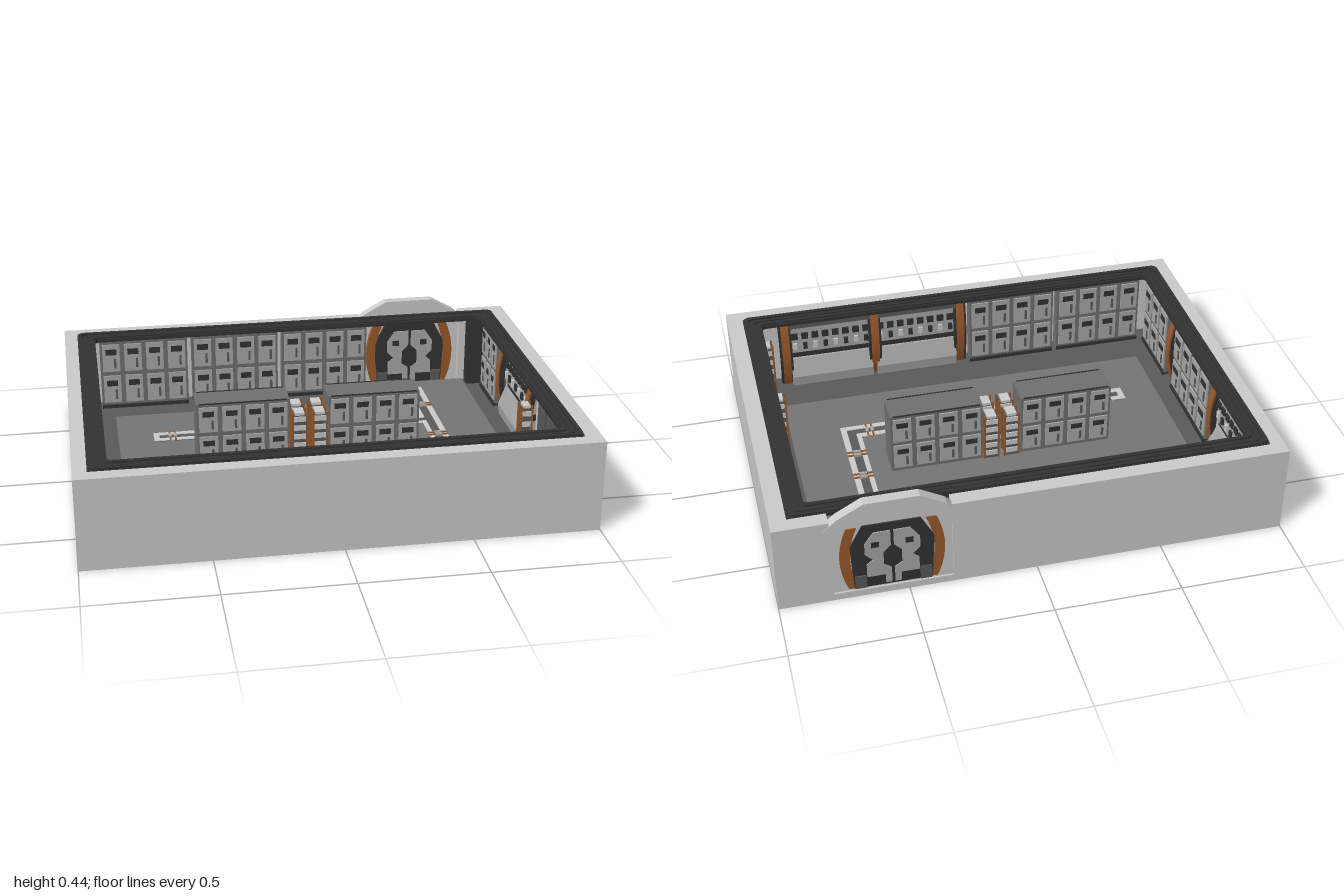
import * as THREE from 'three';

const mat = (color) => new THREE.MeshStandardMaterial({ color, roughness: 1, metalness: 0, side: THREE.DoubleSide });
const M = {
  grey: mat(0xcccccc), floor: mat(0x757575), dark: mat(0x5a5a5a), black: mat(0x333333),
  panel: mat(0xa8a8a8), cabinet: mat(0x707070), brown: mat(0x9a5a2c),
};
const FLOOR = 0.045;

function add(parent, name, geo, m, x = 0, y = 0, z = 0) {
  const mesh = new THREE.Mesh(geo, m);
  mesh.name = name;
  mesh.position.set(x, y, z);
  parent.add(mesh);
  return mesh;
}

// box given by its lower and upper limits on each axis
function box(parent, name, m, x0, x1, y0, y1, z0, z1) {
  return add(parent, name, new THREE.BoxGeometry(x1 - x0, y1 - y0, z1 - z0), m,
    (x0 + x1) / 2, (y0 + y1) / 2, (z0 + z1) / 2);
}

const shapeOf = (pts) => new THREE.Shape(pts.map(([x, y]) => new THREE.Vector2(x, y)));
const extrude = (shape, depth) => new THREE.ExtrudeGeometry(shape, { depth, bevelEnabled: false });

function group(parent, name, x = 0, z = 0, turn = 0) {
  const g = new THREE.Group();
  g.name = name;
  g.position.set(x, 0, z);
  g.rotation.y = turn;
  parent.add(g);
  return g;
}

// curved band bowing towards +x, standing on the floor
function bowShape(y0, y1, bow, thick) {
  const s = new THREE.Shape(), mid = (y0 + y1) / 2;
  s.moveTo(0, y0);
  s.quadraticCurveTo(bow * 2, mid, 0, y1);
  s.lineTo(-thick, y1);
  s.quadraticCurveTo(bow * 2 - thick, mid, -thick, y0);
  return s;
}

// lettered-free cabinet front: columns x 2 rows of doors with screen, slot and handle
function cabinetFace(parent, w, y0, y1, z, cols = 4) {
  const cw = w / cols, rh = (y1 - y0) / 2;
  for (let c = 0; c < cols; c++) for (let r = 0; r < 2; r++) {
    const x = -w / 2 + c * cw, y = y0 + r * rh;
    box(parent, 'cabinetDoor', M.panel, x + 0.01, x + cw - 0.01, y + 0.012, y + rh - 0.008, z, z + 0.006);
    box(parent, 'doorScreen', M.black, x + 0.024, x + cw - 0.024, y + rh * 0.62, y + rh * 0.8, z + 0.005, z + 0.008);
    box(parent, 'doorHandle', M.dark, x + cw * 0.62, x + cw * 0.72, y + rh * 0.2, y + rh * 0.5, z + 0.005, z + 0.01);
  }
}

// wall pieces: local z = 0 is the visible face, the wall lies at -z
function wallBank(parent, u, w, m = M.cabinet) {
  const g = group(parent, 'wallCabinetBank', u);
  box(g, 'cabinetBody', m, -w / 2, w / 2, FLOOR, 0.36, -0.06, -0.012);
  box(g, 'cabinetPlinth', M.black, -w / 2, w / 2, FLOOR, FLOOR + 0.015, -0.06, -0.004);
  if (m === M.cabinet) cabinetFace(g, w, FLOOR + 0.015, 0.355, -0.012, Math.max(2, Math.round(w / 0.096)));
  else for (let i = 0; i < 3; i++) {
    const x = -w / 2 + (i + 0.5) * w / 3;
    box(g, 'lockerDoor', M.dark, x - w * 0.13, x + w * 0.13, 0.08, 0.34, -0.012, -0.004);
  }
}

function wallConsole(parent, u, w) {
  const g = group(parent, 'wallConsole', u);
  const lower = extrude(shapeOf([[-0.06, FLOOR], [-0.01, FLOOR], [-0.005, 0.09], [-0.035, 0.17], [-0.06, 0.17]]), w);
  add(g, 'consoleBase', lower, M.panel, w / 2).rotation.y = -Math.PI / 2;
  box(g, 'consoleGroove', M.black, -w / 2, w / 2, 0.17, 0.2, -0.06, -0.045);
  box(g, 'instrumentPanel', M.panel, -w / 2, w / 2, 0.2, 0.33, -0.06, -0.035);
  box(g, 'upperTrim', M.dark, -w / 2, w / 2, 0.33, 0.37, -0.06, -0.025);
  const n = Math.max(3, Math.round(w / 0.045)), s = w / n;
  for (let i = 0; i < n; i++) {
    const x = -w / 2 + (i + 0.5) * s;
    box(g, 'instrument', M.black, x - s * 0.32, x + s * 0.32, 0.27, 0.3, -0.036, -0.028);
    box(g, 'instrumentSwitch', i % 2 ? M.black : M.grey, x - s * 0.2, x + s * 0.2, 0.22, 0.25, -0.036, -0.026);
  }
}

function wallRib(parent, u) {
  const g = group(parent, 'wallRib', u);
  for (const [dx, w, m, off] of [[0, 0.034, M.brown, -0.03], [-0.022, 0.01, M.black, -0.037], [0.022, 0.01, M.black, -0.037]])
    add(g, 'ribBand', extrude(bowShape(FLOOR, 0.37, 0.028, 0.022), w), m, dx + w / 2, 0, off).rotation.y = -Math.PI / 2;
}

// small equipment stack with brown corner posts
function rack(parent, x, z, w, d, top) {
  const g = group(parent, 'equipmentRack', x, z);
  box(g, 'rackCore', M.dark, -w * 0.42, w * 0.42, FLOOR, top - 0.01, -d * 0.42, d * 0.42);
  for (let i = 0; i < 5; i++) {
    const y = FLOOR + 0.02 + i * (top - FLOOR - 0.02) / 5;
    box(g, 'rackUnit', M.grey, -w * 0.38, w * 0.38, y, y + 0.022, -d / 2, d / 2);
  }
  for (const sx of [-1, 1]) for (const sz of [-1, 1])
    add(g, 'rackPost', new THREE.BoxGeometry(0.008, top - FLOOR, 0.008), M.brown, sx * w * 0.45, (top + FLOOR) / 2, sz * d * 0.42);
  box(g, 'rackTop', M.grey, -w * 0.3, w * 0.3, top - 0.012, top, -d * 0.45, d * 0.45);
}

// rectangular ring with rounded corners, lying flat
function rim(parent, inset, width, y, h, r) {
  const rect = (T, i, rad) => {
    const x0 = -0.945 + i, x1 = 0.935 - i, z0 = -0.69 + i, z1 = 0.69 - i, s = new T();
    s.moveTo(x0 + rad, z0); s.lineTo(x1 - rad, z0); s.quadraticCurveTo(x1, z0, x1, z0 + rad);
    s.lineTo(x1, z1 - rad); s.quadraticCurveTo(x1, z1, x1 - rad, z1);
    s.lineTo(x0 + rad, z1); s.quadraticCurveTo(x0, z1, x0, z1 - rad);
    s.lineTo(x0, z0 + rad); s.quadraticCurveTo(x0, z0, x0 + rad, z0);
    return s;
  };
  const s = rect(THREE.Shape, inset, r);
  s.holes.push(rect(THREE.Path, inset + width, r));
  add(parent, 'rimTrim', extrude(s, h), M.black, 0, y + h, 0).rotation.x = Math.PI / 2;
}

function buildDoor(parent) {
  const g = group(parent, 'doorway', 0.56, 0);
  const hood = [[-0.26, 0.335], [-0.21, 0.385], [-0.11, 0.44], [0.1, 0.44], [0.2, 0.385], [0.26, 0.335]];
  const inner = [[0.235, 0.315], [0.18, 0.355], [0.09, 0.4], [-0.1, 0.4], [-0.19, 0.355], [-0.235, 0.315]];
  add(g, 'doorHood', extrude(shapeOf([...hood, ...inner]), 0.042), M.grey, 0, 0, -0.752);
  add(g, 'doorSurround', extrude(shapeOf([[0.26, 0.02], ...inner.map(([x, y]) => [x * 1.05, y + 0.01]), [-0.26, 0.02]]), 0.025), M.grey, 0, 0, -0.743);
  const frame = [[-0.15, 0.04], [-0.16, 0.24], [-0.11, 0.335], [0.11, 0.335], [0.16, 0.24], [0.15, 0.04]];
  add(g, 'doorFrame', extrude(shapeOf(frame), 0.052), M.black, 0, 0, -0.749);
  const leaf = [[0.006, 0.05], [0.03, 0.05], [0.03, 0.09], [0.1, 0.09], [0.1, 0.15], [0.075, 0.17], [0.105, 0.2],
    [0.105, 0.25], [0.07, 0.3], [0.006, 0.3], [0.006, 0.23], [0.035, 0.2], [0.035, 0.14], [0.006, 0.12]];
  for (const s of [-1, 1]) {
    const side = group(g, 'doorHalf');
    add(side, 'doorLeaf', extrude(shapeOf(leaf.map(([x, y]) => [s * x, y])), 0.06), M.panel, 0, 0, -0.753);
    box(side, 'leafWindow', M.black, s * 0.065 - 0.015, s * 0.065 + 0.015, 0.23, 0.255, -0.755, -0.691);
    box(side, 'footBlock', M.dark, s * 0.125 - 0.022, s * 0.125 + 0.022, 0.04, 0.1, -0.754, -0.69);
    const jamb = add(side, 'doorJamb', extrude(bowShape(0.04, 0.33, 0.03, 0.04), 0.05), M.brown, s * 0.17, 0, s > 0 ? -0.747 : -0.697);
    if (s < 0) jamb.rotation.y = Math.PI;
  }
}

export function createModel() {
  const root = new THREE.Group();
  root.name = 'sunkenControlRoom';

  // outer shell, with a notch in the back wall for the doorway
  const shell = group(root, 'shell');
  box(shell, 'base', M.grey, -1, 1, 0, 0.03, -0.75, 0.75);
  box(shell, 'frontWall', M.grey, -1, 1, 0.03, 0.375, 0.69, 0.75);
  box(shell, 'leftOuterWall', M.grey, 0.935, 1, 0.03, 0.375, -0.69, 0.69);
  box(shell, 'rightOuterWall', M.grey, -1, -0.945, 0.03, 0.375, -0.69, 0.69);
  add(shell, 'backWall', extrude(shapeOf([[-1, 0.03], [1, 0.03], [1, 0.375], [0.79, 0.375], [0.79, 0.03],
    [0.33, 0.03], [0.33, 0.375], [-1, 0.375]]), 0.06), M.grey, 0, 0, -0.75);
  buildDoor(root);

  // two-tone floor
  const floor = group(root, 'floor');
  box(floor, 'floorBorder', M.dark, -0.945, 0.935, 0.03, FLOOR, -0.69, 0.69);
  box(floor, 'floorField', M.floor, -0.8, 0.81, 0.03, FLOOR + 0.004, -0.51, 0.47);
  box(floor, 'doorPath', M.floor, 0.365, 0.81, 0.03, FLOOR + 0.004, -0.69, -0.51);

  // floor channels: pale edges, dark middle, brown clamps
  const ch = group(root, 'floorChannels'), y0 = FLOOR, y1 = FLOOR + 0.009;
  const edge = (a, b, c, d) => box(ch, 'channelEdge', M.grey, a, b, y0, y1, c, d);
  const clamp = (x, z, along) => {
    for (const s of [-0.011, 0.011]) {
      const [cx, cz] = along ? [x + s, z] : [x, z + s];
      add(ch, 'channelClamp', new THREE.BoxGeometry(along ? 0.007 : 0.08, 0.01, along ? 0.08 : 0.007), M.brown, cx, y1, cz);
      add(ch, 'clampBlock', new THREE.BoxGeometry(along ? 0.012 : 0.03, 0.014, along ? 0.03 : 0.012), M.panel, cx, y1, cz);
    }
  };
  for (const z of [-0.3, 0.165]) {
    box(ch, 'channelBed', M.dark, -0.65, 0.54, y0, y0 + 0.006, z, z + 0.08);
    edge(-0.65, 0.52, z, z + 0.024);
    edge(-0.65, 0.52, z + 0.056, z + 0.08);
    edge(-0.65, -0.626, z + 0.024, z + 0.056);
    for (const x of [-0.57, -0.38, -0.17, 0.04, 0.26, 0.48]) clamp(x, z + 0.04, true);
  }
  box(ch, 'channelBed', M.dark, 0.52, 0.6, y0, y0 + 0.006, -0.61, 0.245);
  edge(0.576, 0.6, -0.61, 0.245);
  edge(0.52, 0.54, -0.61, -0.276);
  edge(0.52, 0.54, -0.244, 0.189);
  edge(0.52, 0.6, 0.221, 0.245);
  for (const z of [-0.41, -0.1, 0.05]) clamp(0.56, z, false);

  // centre island: two double-sided cabinet banks with racks between
  for (const x of [-0.297, 0.248]) {
    const g = group(root, 'islandBank', x, -0.03);
    box(g, 'islandBody', M.cabinet, -0.192, 0.192, FLOOR, 0.32, -0.064, 0.064);
    box(g, 'islandTopSeam', M.black, -0.18, 0.18, 0.318, 0.322, -0.066, -0.06);
    box(g, 'islandTopSeam', M.black, -0.18, 0.18, 0.318, 0.322, 0.06, 0.066);
    for (const turn of [0, Math.PI]) cabinetFace(group(g, 'islandFace', 0, 0, turn), 0.384, FLOOR + 0.01, 0.315, 0.064);
  }
  for (const x of [-0.065, 0.02]) for (const z of [-0.075, 0.02]) rack(root, x, z, 0.065, 0.06, 0.26);

  // back wall: three banks
  const back = group(root, 'backFittings', 0, -0.61);
  for (const x of [-0.66, -0.255, 0.15]) wallBank(back, x, 0.385);
  box(back, 'cornerPanel', M.black, 0.82, 0.935, FLOOR, 0.375, -0.075, -0.02);

  // front wall (local u runs towards -x)
  const front = group(root, 'frontFittings', 0, 0.61, Math.PI);
  for (const x of [0.25, 0.655]) wallBank(front, x, 0.385);
  for (const x of [-0.185, -0.565]) wallConsole(front, x, 0.36);
  for (const x of [0.015, -0.37, -0.765]) wallRib(front, x);

  // wall at -x (local u runs towards -z)
  const west = group(root, 'rightSideFittings', -0.865, 0, Math.PI / 2);
  wallBank(west, -0.455, 0.3);
  wallBank(west, 0.0, 0.42);
  wallConsole(west, 0.42, 0.32);
  for (const u of [-0.27, 0.24, 0.585]) wallRib(west, u);

  // wall at +x (local u runs towards +z)
  const east = group(root, 'leftSideFittings', 0.87, 0, -Math.PI / 2);
  wallBank(east, 0.44, 0.34, M.black);
  wallConsole(east, -0.1, 0.38);
  wallBank(east, -0.48, 0.24);
  for (const u of [-0.32, 0.11]) wallRib(east, u);
  for (const z of [0.19, 0.59]) rack(root, 0.85, z, 0.05, 0.05, 0.3);

  // stepped dark rim around the opening
  const top = group(root, 'rim');
  rim(top, 0, 0.075, 0.362, 0.015, 0.02);
  rim(top, 0.003, 0.016, 0.372, 0.013, 0.03);
  rim(top, 0.028, 0.014, 0.372, 0.01, 0.03);
  rim(top, 0.052, 0.016, 0.372, 0.012, 0.03);
  return root;
}
